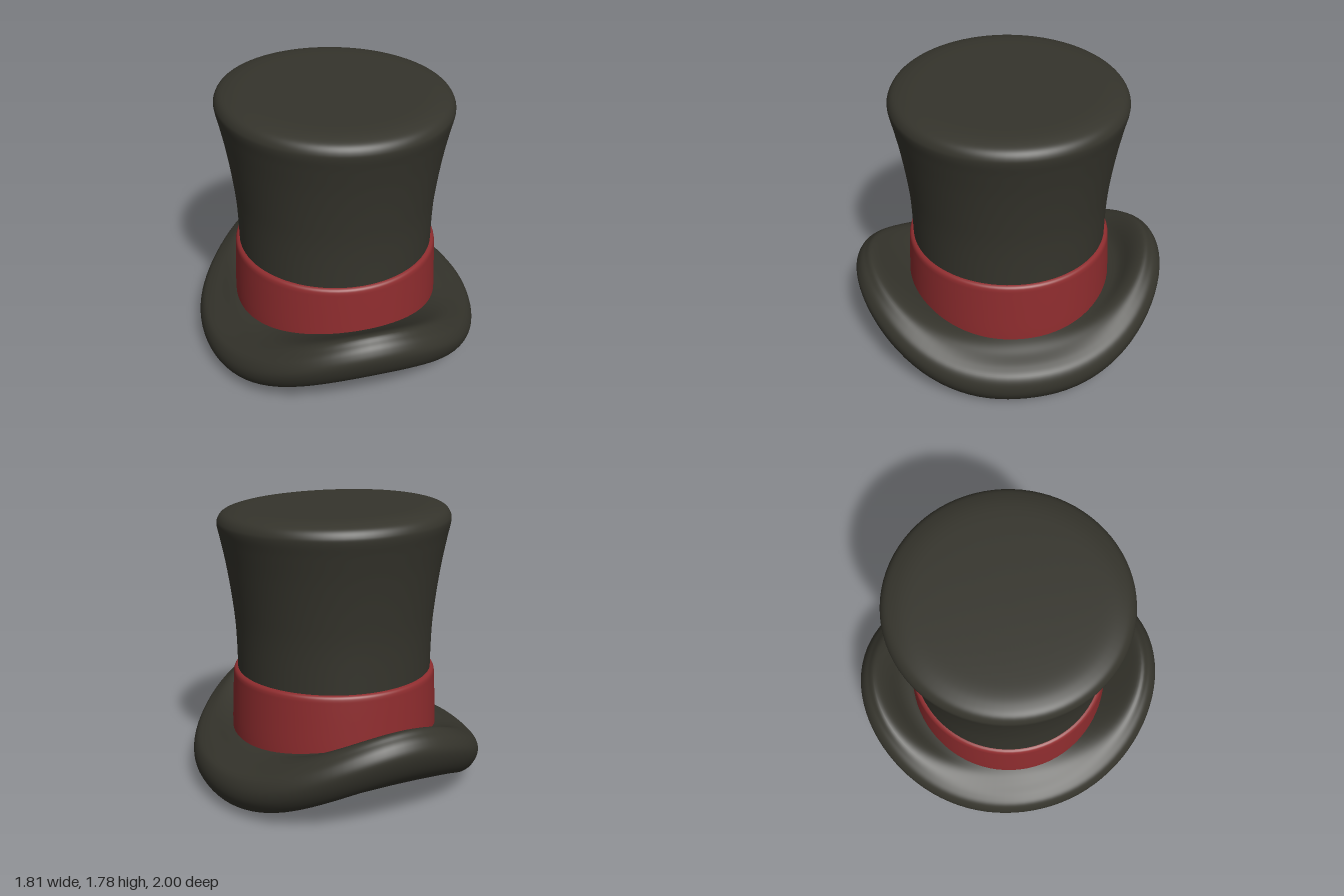
import * as THREE from 'three';

const felt = new THREE.MeshStandardMaterial({ color: 0x35342c });
felt.name = 'charcoal felt';
const ribbon = new THREE.MeshStandardMaterial({ color: 0x8e2c2e });
ribbon.name = 'red ribbon';

const curve = (pts) => new THREE.SplineCurve(pts.map(([r, y]) => new THREE.Vector2(r, y)));

// Brim sections at the side and at the front: radius, height above the bend.
// Both run from the centre of the underside, around the roll, to under the band.
const sideSection = curve([
  [0, 0.03], [0.4, 0.025], [0.74, 0.002], [0.84, 0.025], [0.895, 0.1], [0.905, 0.175],
  [0.88, 0.24], [0.825, 0.277], [0.75, 0.308], [0.68, 0.34], [0.58, 0.37]]);
const frontSection = curve([
  [0, 0.03], [0.45, 0.028], [0.83, 0.022], [0.92, 0], [0.975, 0.025], [1.0, 0.09],
  [0.978, 0.175], [0.94, 0.25], [0.885, 0.323], [0.78, 0.335], [0.58, 0.31]]);

// The brim sweeps up towards the front and the back.
const bend = (z) => 0.4 * Math.pow(Math.abs(z), 2.8);

function brimGeometry(rings = 60, segments = 96) {
  const pos = [], index = [];
  for (let i = 0; i <= rings; i++) {
    const s = sideSection.getPoint(i / rings);
    const f = frontSection.getPoint(i / rings);
    for (let j = 0; j < segments; j++) {
      const a = (j / segments) * Math.PI * 2;
      const x = s.x * Math.cos(a), z = f.x * Math.sin(a);
      const k = Math.sin(a) ** 2;
      // soft fold inside the rear roll
      const fold = z < 0 && i / rings > 0.7
        ? 0.035 * k * k * Math.exp(-(((f.x - 0.73) / 0.06) ** 2)) : 0;
      pos.push(x, s.y * (1 - k) + f.y * k + bend(z) - fold, z);
      if (i < rings) {
        const n = (j + 1) % segments;
        const p = i * segments + j, q = i * segments + n;
        if (i > 0) index.push(p, p + segments, q);
        index.push(q, p + segments, q + segments);
      }
    }
  }
  const g = new THREE.BufferGeometry();
  g.setAttribute('position', new THREE.Float32BufferAttribute(pos, 3));
  g.setIndex(index);
  g.computeVertexNormals();
  return g;
}

// Turned part, with its upper end rising gently towards the right
function turned(profile, divisions) {
  const g = new THREE.LatheGeometry(curve(profile).getPoints(divisions), 80);
  const p = g.attributes.position;
  for (let i = 0; i < p.count; i++) {
    const x = p.getX(i), y = p.getY(i);
    const lean = THREE.MathUtils.clamp((y - 0.7) / 1.05, 0, 1);
    p.setY(i, y + lean * (0.018 * x * x - 0.028 * x));
  }
  return g;
}

export function createModel() {
  const hat = new THREE.Group();
  hat.name = 'topHat';
  const add = (name, geometry, material) => {
    const mesh = new THREE.Mesh(geometry, material);
    mesh.name = name;
    hat.add(mesh);
  };

  add('brim', brimGeometry(), felt);

  // Flared crown with a rounded rim and a flat top
  add('crown', turned([
    [0.612, 0.3], [0.612, 0.72], [0.617, 1.0], [0.635, 1.2], [0.663, 1.4], [0.693, 1.56],
    [0.712, 1.65], [0.709, 1.69], [0.685, 1.724], [0.64, 1.744], [0.57, 1.757],
    [0.45, 1.761], [0.2, 1.762], [0, 1.762]], 78), felt);

  // Ribbon around the foot of the crown
  add('band', turned([
    [0.657, 0.28], [0.655, 0.4], [0.648, 0.55], [0.641, 0.68], [0.638, 0.72],
    [0.63, 0.738], [0.615, 0.746], [0.6, 0.746]], 42), ribbon);

  return hat;
}
